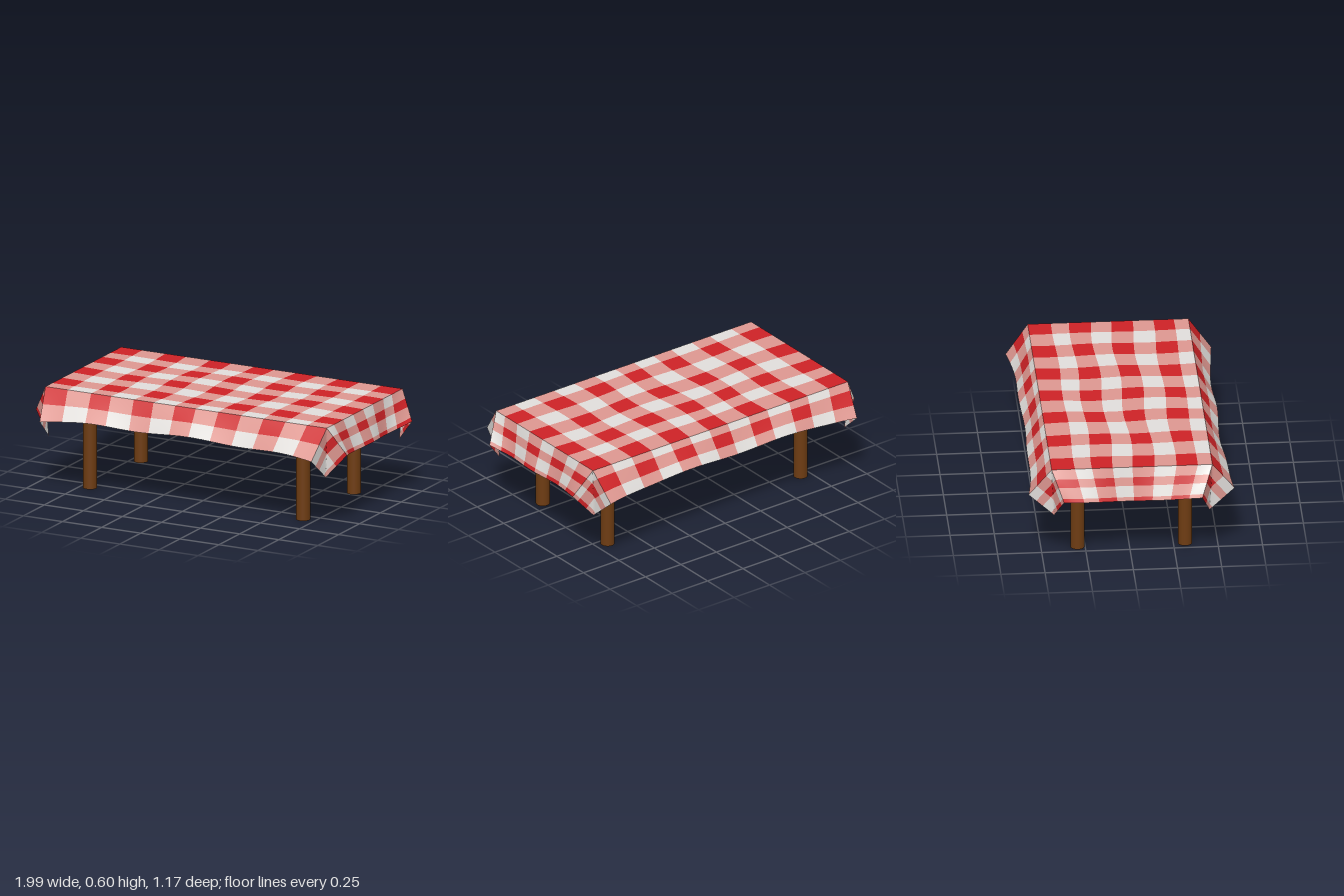
import * as THREE from 'three';
import { toCreasedNormals } from 'three/addons/utils/BufferGeometryUtils.js';

const flat = (name, color, side = THREE.FrontSide) =>
  Object.assign(new THREE.MeshStandardMaterial({ color, side }), { name });

const EX = 0.9, EZ = 0.455, TOP = 0.6; // edges and height of the covered top

// Check boundaries; values past an edge are edge + fraction of the overhang
const BANDS_X = [-1.9, -1.78, -1.45, -1.2, -0.9, -0.76, -0.61, -0.48, -0.33, -0.2,
  -0.06, 0.07, 0.21, 0.35, 0.49, 0.63, 0.77, 0.9, 1.2, 1.45, 1.78, 1.9];
const BANDS_Z = [-1.455, -1.1, -0.7, -0.455, -0.32, -0.22, -0.1, 0.01, 0.13, 0.25,
  0.37, 0.455, 0.955, 1.455];
const SUB = 5;

// Hem of the long sides and of the ends, flaring towards the corners
function longHem(x, s) {
  const t = (x / EX) ** 4;
  const wave = Math.sin(x * 9 + s) * (1 - t);
  return new THREE.Vector3(x * 0.965, 0.45 - 0.02 * t + 0.009 * wave, s * (0.55 + 0.033 * t + 0.006 * wave));
}
function endHem(z, s) {
  const t = (z / EZ) ** 4;
  const wave = Math.sin(z * 12 + s) * (1 - t);
  return new THREE.Vector3(s * (0.955 + 0.04 * t + 0.012 * wave), 0.412 + 0.025 * t + 0.005 * wave, z * 0.86);
}

// Point of the draped cloth
function drape(u, v) {
  const sx = Math.sign(u) || 1, sz = Math.sign(v) || 1;
  const a = Math.max(0, Math.abs(u) - EX), b = Math.max(0, Math.abs(v) - EZ);
  const x = sx * Math.min(Math.abs(u), EX), z = sz * Math.min(Math.abs(v), EZ);
  const fx = 1 - (x / EX) ** 2, fz = 1 - (z / EZ) ** 2;
  const p = new THREE.Vector3(
    x + 0.01 * fx * Math.sin(z * 11 + x * 4), TOP, z + 0.01 * fz * Math.sin(x * 8 + z * 5));
  if (a === 0 && b === 0) return p;
  if (a === 0) return p.lerp(longHem(x, sz), b);
  if (b === 0) return p.lerp(endHem(z, sx), a);
  // Corner folded inward along its diagonal
  const tip = new THREE.Vector3(sx * 0.885, 0.305, sz * 0.44);
  const side = b > a ? longHem(x, sz) : endHem(z, sx);
  const hi = Math.max(a, b), lo = Math.min(a, b);
  return p.multiplyScalar(1 - hi).addScaledVector(side, hi - lo).addScaledVector(tip, lo);
}

// Split every band into equal steps
function stations(bands) {
  const out = [bands[0]];
  for (let i = 1; i < bands.length; i++)
    for (let k = 1; k <= SUB; k++) out.push(k === SUB ? bands[i] : bands[i - 1] + (bands[i] - bands[i - 1]) * k / SUB);
  return out;
}

function clothGeometry() {
  const us = stations(BANDS_X), vs = stations(BANDS_Z), n = vs.length;
  const positions = [], lists = [[], [], []];
  for (const u of us) for (const v of vs) positions.push(...drape(u, v).toArray());
  for (let i = 0; i < us.length - 1; i++) {
    for (let j = 0; j < n - 1; j++) {
      // Red where two red bands cross, white where none, pink otherwise
      const redX = Math.floor(i / SUB) % 2 === 0, redZ = Math.floor(j / SUB) % 2 === 1;
      const list = lists[redX && redZ ? 0 : redX || redZ ? 1 : 2];
      const p = i * n + j, q = p + n;
      if (us[i] * vs[j] > 0) list.push(p, p + 1, q + 1, p, q + 1, q);
      else list.push(p, p + 1, q, q, p + 1, q + 1);
    }
  }
  const g = new THREE.BufferGeometry();
  g.setAttribute('position', new THREE.Float32BufferAttribute(positions, 3));
  g.setIndex(lists.flat());
  let start = 0;
  lists.forEach((list, m) => {
    g.addGroup(start, list.length, m);
    start += list.length;
  });
  return toCreasedNormals(g, Math.PI / 5);
}

export function createModel() {
  const table = new THREE.Group();
  table.name = 'picnicTable';
  const wood = flat('wood', 0x6e3c12);
  const add = (name, geometry, material, x, y, z) => {
    const mesh = new THREE.Mesh(geometry, material);
    mesh.name = name;
    mesh.position.set(x, y, z);
    table.add(mesh);
  };

  // Table top
  add('tableTop', new THREE.BoxGeometry(1.77, 0.13, 0.88), wood, 0, 0.525, 0);

  // Four round legs
  const leg = new THREE.CylinderGeometry(0.04, 0.04, 0.48, 32);
  for (const [side, x] of [['left', 0.675], ['right', -0.688]])
    for (const [end, z] of [['Front', 0.316], ['Back', -0.293]])
      add(`${side}${end}Leg`, leg, wood, x, 0.24, z);

  // Checked cloth
  add('tablecloth', clothGeometry(), [
    flat('red', 0xcf2226, THREE.DoubleSide),
    flat('pink', 0xdf9891, THREE.DoubleSide),
    flat('white', 0xe2dfdc, THREE.DoubleSide),
  ], 0, 0, 0);

  return table;
}
